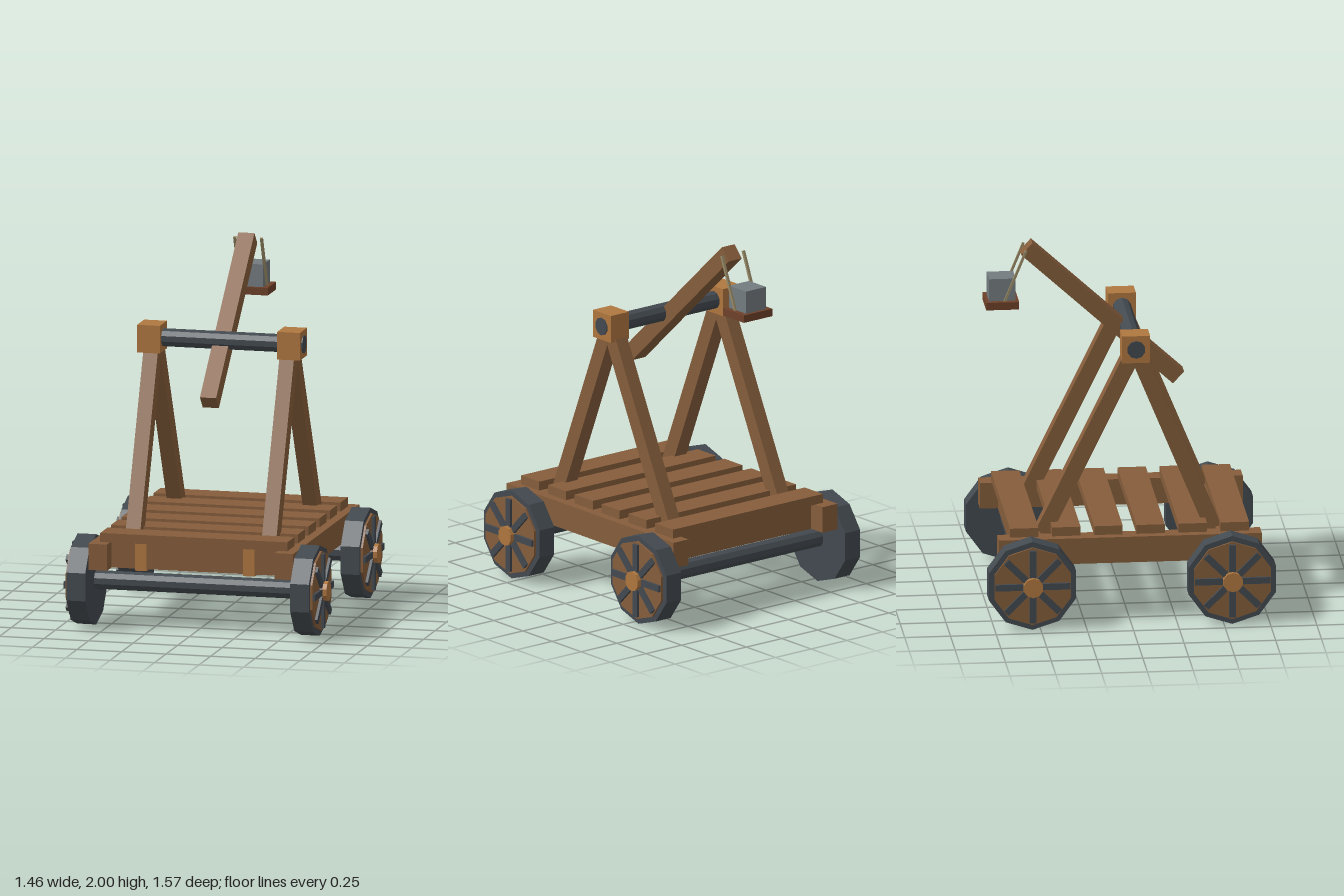
import * as THREE from 'three';

const makeMaterial = (name, color) => {
  const m = new THREE.MeshStandardMaterial({ color });
  m.name = name;
  return m;
};

export function createModel() {
  const wood = makeMaterial('wood', 0x855d3b);
  const lightWood = makeMaterial('light wood', 0xaf773f);
  const darkWood = makeMaterial('dark wood', 0x6e4129);
  const iron = makeMaterial('iron', 0x434a50);
  const stone = makeMaterial('stone', 0x747c80);
  const rope = makeMaterial('rope', 0x9a8c68);

  const model = new THREE.Group();
  model.name = 'catapult';

  function add(name, geometry, material, x, y, z, parent = model) {
    const mesh = new THREE.Mesh(geometry, material);
    mesh.name = name;
    mesh.position.set(x, y, z);
    parent.add(mesh);
    return mesh;
  }

  const box = (name, material, w, h, d, x, y, z, parent) =>
    add(name, new THREE.BoxGeometry(w, h, d), material, x, y, z, parent);

  // Faceted ten-sided cylinder along x, one corner pointing up
  function rod(name, material, radius, length, x, y, z, parent) {
    const g = new THREE.CylinderGeometry(radius, radius, length, 10)
      .rotateY(Math.PI / 2).rotateZ(Math.PI / 2).toNonIndexed();
    g.computeVertexNormals();
    return add(name, g, material, x, y, z, parent);
  }

  // Square beam between two points [y, z] in the plane at x
  function beam(name, material, width, depth, x, [y0, z0], [y1, z1]) {
    const length = Math.hypot(y1 - y0, z1 - z0);
    const mesh = box(name, material, width, length, depth, x, (y0 + y1) / 2, (z0 + z1) / 2);
    mesh.rotation.x = Math.atan2(z1 - z0, y1 - y0);
    return mesh;
  }

  // Wheels and lower axles
  const axleY = 0.25, axleZ = 0.545;
  for (const z of [axleZ, -axleZ]) {
    rod('axle', iron, 0.052, 1.2, 0, axleY, z);
    for (const side of [1, -1]) {
      const wheel = new THREE.Group();
      wheel.name = 'wheel';
      wheel.position.set(0, axleY, z);
      model.add(wheel);
      rod('tire', iron, 0.25, 0.105, side * 0.6275, 0, 0, wheel);
      rod('wheelFace', wood, 0.22, 0.04, side * 0.672, 0, 0, wheel);
      for (let i = 0; i < 4; i++) {
        const spoke = box('spokePair', iron, 0.03, 0.41, 0.036, side * 0.692, 0, 0, wheel);
        spoke.rotation.x = i * Math.PI / 4;
      }
      rod('hub', lightWood, 0.055, 0.06, side * 0.7, 0, 0, wheel);
    }
  }

  // Chassis: side rails, end beams and deck planks
  for (const side of [1, -1]) {
    box('sideRail', wood, 0.105, 0.145, 1.434, side * 0.5225, 0.4075, 0);
    box('endBeam', wood, 0.94, 0.143, 0.14, 0, 0.407, side * 0.55);
    box('bracket', lightWood, 0.065, 0.152, 0.156, side * 0.303, 0.402, 0.552);
  }
  for (let i = 0; i < 6; i++) {
    box('deckPlank', wood, 1.05, 0.05, 0.155, 0, 0.505, (i - 2.5) * 0.23);
  }

  // A-frames with the bearing blocks and pivot bar
  const pivotY = 1.507, pivotZ = 0.043;
  for (const side of [1, -1]) {
    const x = side * 0.382;
    beam('frontLeg', wood, 0.082, 0.088, x, [0.42, 0.487], [1.5, pivotZ]);
    beam('backLeg', wood, 0.08, 0.088, x, [0.42, -0.485], [1.5, pivotZ]);
    box('bearingBlock', lightWood, 0.128, 0.153, 0.153, side * 0.393, pivotY, pivotZ);
  }
  rod('pivotBar', iron, 0.05, 0.926, 0, pivotY, pivotZ);

  // Throwing arm
  beam('throwingArm', wood, 0.091, 0.09, 0, [1.212, 0.315], [1.968, -0.513]);

  // Hanging tray with its stone and ropes
  box('tray', darkWood, 0.2, 0.042, 0.18, 0, 1.664, -0.65);
  box('stoneBlock', stone, 0.14, 0.127, 0.145, 0, 1.747, -0.649);
  for (const side of [1, -1]) {
    beam('traySupportRope', rope, 0.015, 0.013, side * 0.075, [1.968, -0.52], [1.675, -0.64]);
  }

  return model;
}
